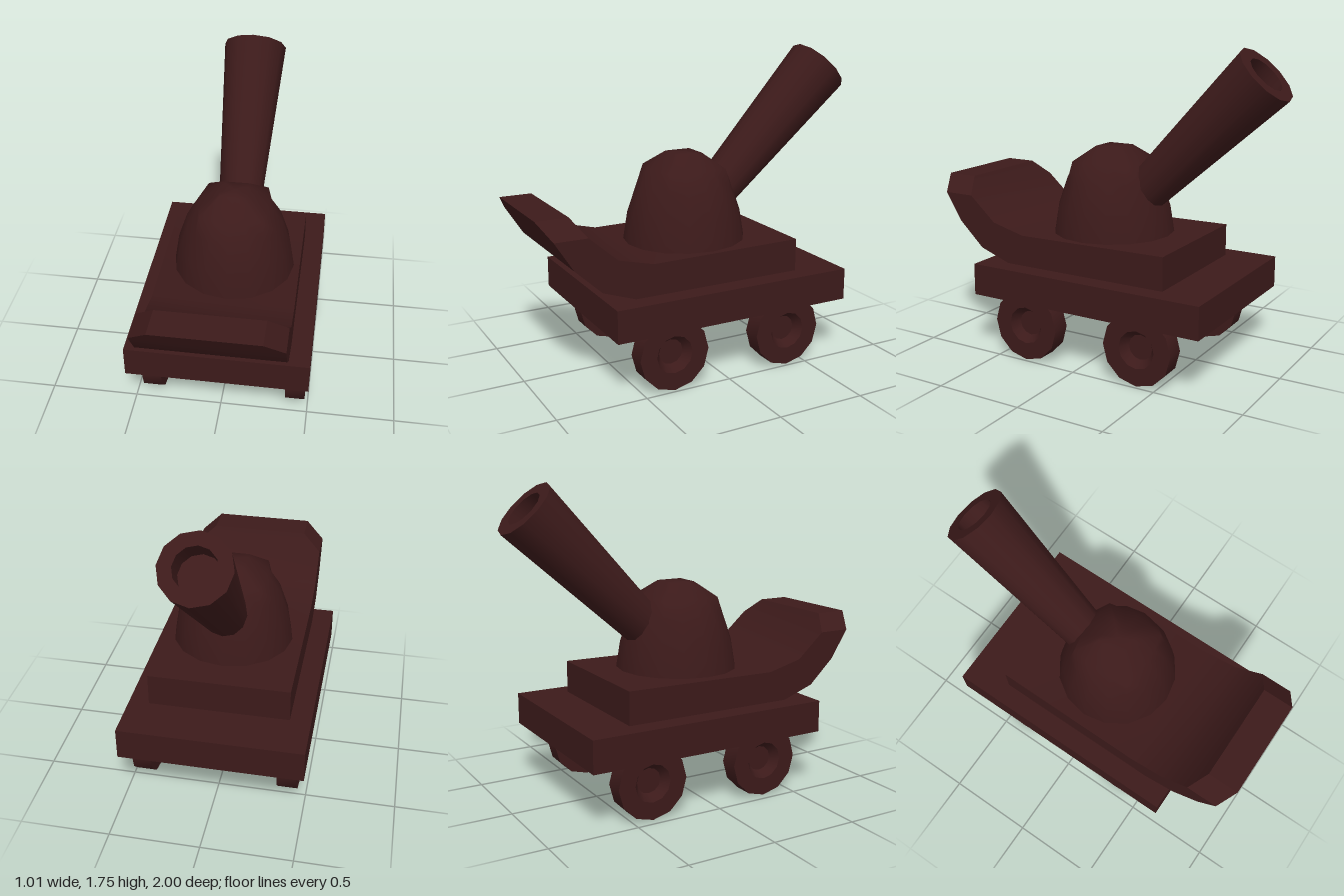
import * as THREE from 'three';
import { toCreasedNormals, mergeVertices } from 'three/addons/utils/BufferGeometryUtils.js';

const material = new THREE.MeshStandardMaterial({ color: 0x3c1a1a });

function part(name, geometry, parent) {
  const mesh = new THREE.Mesh(geometry, material);
  mesh.name = name;
  parent.add(mesh);
  return mesh;
}

// Turned part with sharp rims and smooth sides
function turned(points, sides) {
  const profile = points.map(([r, y]) => new THREE.Vector2(r, y));
  return toCreasedNormals(new THREE.LatheGeometry(profile, sides), 0.65);
}

// Sled-like deck: stations of [half width, top z, top y, bottom z, bottom y]
function deckGeometry() {
  const stations = [
    [0.393, -0.49, 0.70, -0.49, 0.51],
    [0.393, 0.40, 0.69, 0.49, 0.51],
    [0.393, 0.60, 0.74, 0.69, 0.58],
    [0.393, 0.76, 0.88, 0.84, 0.72],
    [0.393, 0.76, 0.88, 0.942, 0.88],
    [0.285, 0.82, 0.97, 1.0, 0.97],
  ];
  const rings = stations.map(([w, tz, ty, bz, by]) => [[-w, ty, tz], [w, ty, tz], [w, by, bz], [-w, by, bz]]);
  const position = [];
  const quad = (a, b, c, d) => position.push(...a, ...b, ...c, ...a, ...c, ...d);
  for (let i = 0; i < rings.length - 1; i++) {
    const a = rings[i], b = rings[i + 1];
    for (let j = 0; j < 4; j++) {
      const k = (j + 1) % 4;
      quad(a[j], b[j], b[k], a[k]);
    }
  }
  quad(...rings[0]);
  quad(...rings[rings.length - 1].slice().reverse());
  const geometry = new THREE.BufferGeometry();
  geometry.setAttribute('position', new THREE.Float32BufferAttribute(position, 3));
  return toCreasedNormals(geometry, 0.6);
}

// Dome whose rings become squarer toward the small flat cap
function domeGeometry() {
  const profile = [[0.347, 0.66], [0.345, 0.69], [0.32, 0.845], [0.27, 0.995], [0.195, 1.10], [0.075, 1.183], [0, 1.185]];
  let geometry = new THREE.LatheGeometry(profile.map(([r, y]) => new THREE.Vector2(r, y)), 16);
  const p = geometry.attributes.position;
  for (let i = 0; i < p.count; i++) {
    const x = p.getX(i), z = p.getZ(i), r = Math.hypot(x, z);
    if (r < 1e-5) continue;
    const square = r / Math.max(Math.abs(x), Math.abs(z));
    const blend = THREE.MathUtils.smoothstep(p.getY(i), 1.0, 1.18);
    const s = 1 + (square - 1) * blend;
    p.setX(i, x * s);
    p.setZ(i, z * s);
  }
  geometry.deleteAttribute('uv');
  geometry.deleteAttribute('normal');
  geometry = mergeVertices(geometry, 1e-4);
  geometry.computeVertexNormals();
  return geometry;
}

export function createModel() {
  const model = new THREE.Group();
  model.name = 'wheeledCannon';

  // Carriage
  part('basePlate', new THREE.BoxGeometry(1.015, 0.18, 1.415), model).position.set(-0.002, 0.425, -0.047);
  part('curvedDeck', deckGeometry(), model);

  // Dome and barrel
  part('dome', domeGeometry(), model).position.set(0.015, 0, 0.025);
  const length = 1.02;
  const barrel = part('barrel', turned([
    [0, 0], [0.118, 0], [0.182, length], [0.11, length], [0.11, length - 0.14], [0, length - 0.14],
  ], 12), model);
  const tilt = 0.795;
  barrel.rotation.x = -tilt;
  barrel.position.set(0.017, 1.618 - length * Math.cos(tilt), -0.87 + length * Math.sin(tilt));

  // Four wheels with a dished hub on the outer face
  const wheelGeometry = turned([
    [0, 0], [0.202, 0], [0.202, 0.11], [0.105, 0.11], [0.07, 0.06], [0, 0.06],
  ], 12);
  for (const side of [1, -1]) {
    for (const [end, z] of [['front', 0.325], ['rear', -0.385]]) {
      const wheel = part(end + (side > 0 ? 'Left' : 'Right') + 'Wheel', wheelGeometry, model);
      wheel.rotation.z = -side * Math.PI / 2;
      wheel.position.set(0.015 + side * 0.357, 0.202, z);
    }
  }
  return model;
}
